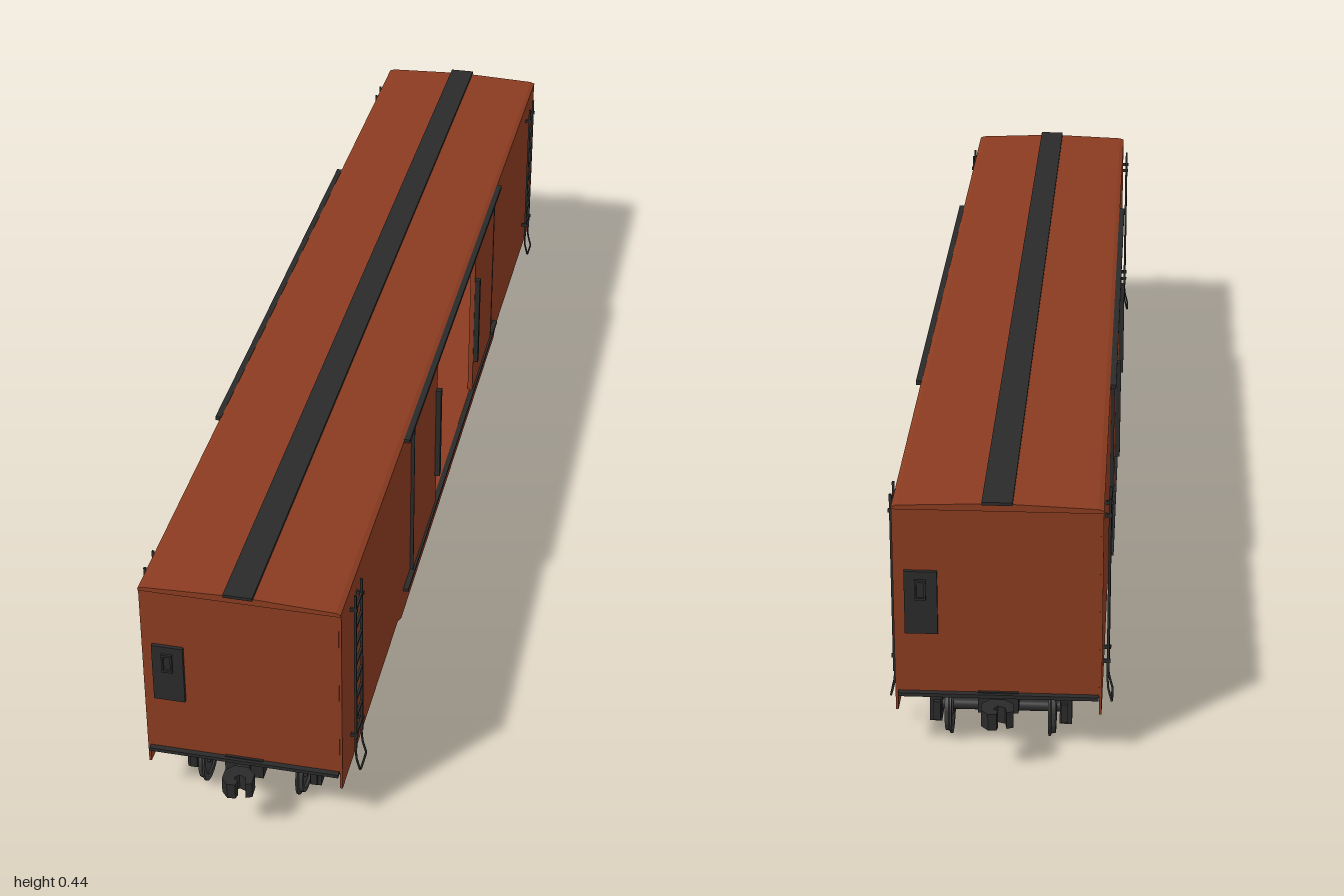
import * as THREE from 'three';
import { toCreasedNormals } from 'three/addons/utils/BufferGeometryUtils.js';

const paint = new THREE.MeshStandardMaterial({ color: 0x8a3b20 });
const black = new THREE.MeshStandardMaterial({ color: 0x2a2a2a });
const steel = new THREE.MeshStandardMaterial({ color: 0x3a3a3a });

function add(parent, name, geometry, material) {
  const mesh = new THREE.Mesh(geometry, material);
  mesh.name = name;
  parent.add(mesh);
  return mesh;
}

// Box given by its limits on each axis
function box(parent, name, [x0, x1], [y0, y1], [z0, z1], material) {
  const g = new THREE.BoxGeometry(x1 - x0, y1 - y0, z1 - z0);
  g.translate((x0 + x1) / 2, (y0 + y1) / 2, (z0 + z1) / 2);
  return add(parent, name, g, material);
}

const shapeOf = pts => new THREE.Shape(pts.map(p => new THREE.Vector2(...p)));

// Extrude a (z, y) outline sideways between x0 and x1
function extrudeX(shape, x0, x1) {
  const g = new THREE.ExtrudeGeometry(shape, { depth: x1 - x0, bevelEnabled: false, curveSegments: 8 });
  return g.rotateY(-Math.PI / 2).translate(x1, 0, 0);
}

// Round rod along x
function rodX(parent, name, r, x0, x1, y, z, material, sides = 16) {
  const g = new THREE.CylinderGeometry(r, r, x1 - x0, sides).rotateZ(Math.PI / 2);
  g.translate((x0 + x1) / 2, y, z);
  return add(parent, name, g, material);
}

function tube(parent, name, pts, r, material) {
  const path = new THREE.CurvePath();
  const v = pts.map(p => new THREE.Vector3(...p));
  for (let i = 1; i < v.length; i++) path.add(new THREE.LineCurve3(v[i - 1], v[i]));
  return add(parent, name, new THREE.TubeGeometry(path, 24, r, 6), material);
}

function ladder(parent, s, zc) {
  const g = new THREE.Group();
  g.name = 'ladder';
  parent.add(g);
  const x = [0.164, 0.168].map(v => v * s).sort((a, b) => a - b);
  for (const dz of [-0.022, 0.022]) {
    box(g, 'ladderStile', x, [0.108, 0.412], [zc + dz - 0.0018, zc + dz + 0.0018], black);
    for (const y of [0.135, 0.385]) {
      const b = [0.156 * s, 0.17 * s].sort((a, c) => a - c);
      box(g, 'ladderBracket', b, [y - 0.003, y + 0.003], [zc + dz - 0.002, zc + dz + 0.002], black);
    }
  }
  for (let i = 0; i < 8; i++) {
    const y = 0.135 + i * 0.0357;
    box(g, 'ladderRung', x, [y - 0.002, y + 0.002], [zc - 0.022, zc + 0.022], black);
  }
  // Flared step hanging below the ladder
  tube(g, 'stirrupStep', [
    [s * 0.165, 0.11, zc - 0.022], [s * 0.167, 0.085, zc - 0.022], [s * 0.173, 0.062, zc - 0.022],
    [s * 0.173, 0.062, zc + 0.022], [s * 0.167, 0.085, zc + 0.022], [s * 0.165, 0.11, zc + 0.022],
  ], 0.0018, black);
}

function buildSide(parent, s) {
  const span = (a, b) => [a * s, b * s].sort((p, q) => p - q);
  // Wall with deepened centre sill edge and doorway
  const wall = shapeOf([[-0.935, 0.075], [-0.505, 0.075], [-0.475, 0.059], [0.475, 0.059],
    [0.505, 0.075], [0.935, 0.075], [0.935, 0.42], [-0.935, 0.42]]);
  wall.holes.push(new THREE.Path([[-0.19, 0.112], [-0.19, 0.418], [0.19, 0.418], [0.19, 0.112]]
    .map(p => new THREE.Vector2(...p))));
  add(parent, 'sideWall', extrudeX(wall, ...span(0.154, 0.158)), paint);
  box(parent, 'topDoorRail', span(0.157, 0.167), [0.416, 0.423], [-0.46, 0.46], black);
  box(parent, 'bottomDoorRail', span(0.157, 0.167), [0.106, 0.111], [-0.46, 0.46], black);
  for (const e of [-1, 1]) {
    const z = (a, b) => [a * e, b * e].sort((p, q) => p - q);
    // Doors slid open
    box(parent, 'slidingDoor', span(0.157, 0.163), [0.111, 0.416], z(0.19, 0.4), paint);
    box(parent, 'doorEdge', span(0.157, 0.164), [0.111, 0.416], z(0.399, 0.402), black);
    box(parent, 'doorLockBar', span(0.163, 0.172), [0.175, 0.357], z(0.192, 0.203), black);
    ladder(parent, s, 0.852 * e);
  }
  box(parent, 'underfloorBox', span(0.082, 0.14), [0.054, 0.105], [-0.16, 0.16], black);
}

function buildTruck(parent, zc) {
  const t = new THREE.Group();
  t.name = 'truck';
  t.position.z = zc;
  parent.add(t);
  // Wheel profile with flange on the inner side
  const profile = [[0, -0.005], [0.016, -0.006], [0.018, -0.002], [0.034, -0.002], [0.036, -0.005],
    [0.047, -0.005], [0.047, -0.002], [0.043, 0], [0.042, 0.006], [0.035, 0.006], [0.033, 0.002],
    [0.018, 0.002], [0.016, 0.007], [0, 0.007]].map(p => new THREE.Vector2(...p));
  const wheel = toCreasedNormals(new THREE.LatheGeometry(profile, 32).rotateZ(-Math.PI / 2), 0.6);
  const frame = shapeOf([[-0.118, 0.03], [-0.072, 0.03], [-0.035, 0.022], [0.035, 0.022], [0.072, 0.03],
    [0.118, 0.03], [0.118, 0.062], [0.07, 0.066], [0.04, 0.076], [-0.04, 0.076], [-0.07, 0.066], [-0.118, 0.062]]);
  for (const e of [-1, 1]) {
    frame.holes.push(new THREE.Path([[0.03, 0.035], [0.066, 0.042], [0.06, 0.056], [0.03, 0.062]]
      .map(([z, y]) => new THREE.Vector2(z * e, y))));
  }
  for (const s of [-1, 1]) {
    const span = (a, b) => [a * s, b * s].sort((p, q) => p - q);
    add(t, 'sideFrame', extrudeX(frame, ...span(0.094, 0.105)), black);
    for (const dz of [-0.095, 0.095]) {
      const w = add(t, 'wheel', wheel, steel);
      w.position.set(0.08 * s, 0.047, dz);
      if (s < 0) w.rotation.y = Math.PI;
      box(t, 'bearingBox', span(0.092, 0.111), [0.025, 0.07], [dz - 0.017, dz + 0.017], black);
    }
    for (const dz of [-0.018, 0, 0.018]) {
      const spring = new THREE.CylinderGeometry(0.008, 0.008, 0.03, 10).translate(0.104 * s, 0.042, dz);
      add(t, 'spring', spring, black);
    }
  }
  for (const dz of [-0.095, 0.095]) rodX(t, 'axle', 0.009, -0.1, 0.1, 0.047, dz, black);
  box(t, 'bolster', [-0.108, 0.108], [0.04, 0.071], [-0.025, 0.025], black);
  add(t, 'centrePlate', new THREE.CylinderGeometry(0.028, 0.028, 0.02, 20).translate(0, 0.078, 0), black);
}

function buildEnd(parent, turn) {
  const e = new THREE.Group();
  e.name = 'carEnd';
  e.rotation.y = turn;
  parent.add(e);
  box(e, 'endWall', [-0.154, 0.154], [0.108, 0.42], [0.929, 0.936], paint);
  box(e, 'endSill', [-0.153, 0.153], [0.104, 0.11], [0.92, 0.945], black);
  // Hand brake housing on the end wall
  box(e, 'brakePanel', [-0.141, -0.091], [0.212, 0.317], [0.934, 0.942], black);
  for (const x of [-0.125, -0.111]) box(e, 'brakeLever', [x, x + 0.003], [0.27, 0.304], [0.942, 0.946], black);
  for (const y of [0.27, 0.3]) box(e, 'brakeLever', [-0.125, -0.108], [y, y + 0.004], [0.942, 0.946], black);
  // Coupler
  box(e, 'couplerPocket', [-0.031, 0.031], [0.076, 0.112], [0.9, 0.94], black);
  box(e, 'couplerShank', [-0.011, 0.011], [0.086, 0.104], [0.93, 0.972], black);
  const jaw = shapeOf([[-0.011, 0.955], [0.011, 0.955], [0.025, 0.968], [0.026, 0.99], [0.016, 0.994],
    [0.013, 0.979], [0.002, 0.975], [-0.005, 0.983], [0.003, 0.99], [0.001, 0.999], [-0.012, 1],
    [-0.023, 0.988], [-0.023, 0.968]]);
  const head = new THREE.ExtrudeGeometry(jaw, { depth: 0.028, bevelEnabled: false });
  add(e, 'couplerHead', head.rotateX(Math.PI / 2).translate(0, 0.109, 0), black);
}

export function createModel() {
  const car = new THREE.Group();
  car.name = 'boxcar';

  // Shallow pitched roof with walkway
  const roof = shapeOf([[-0.158, 0.418], [0.158, 0.418], [0.158, 0.422], [0.15, 0.425],
    [0, 0.431], [-0.15, 0.425], [-0.158, 0.422]]);
  const roofGeometry = new THREE.ExtrudeGeometry(roof, { depth: 1.876, bevelEnabled: false });
  add(car, 'roof', roofGeometry.translate(0, 0, -0.938), paint);
  box(car, 'roofWalk', [-0.023, 0.023], [0.43, 0.435], [-0.943, 0.943], black);

  // Floor and underframe
  box(car, 'floor', [-0.155, 0.155], [0.108, 0.112], [-0.932, 0.932], paint);
  box(car, 'underfloor', [-0.154, 0.154], [0.102, 0.108], [-0.932, 0.932], black);
  box(car, 'centreSill', [-0.028, 0.028], [0.077, 0.103], [-0.93, 0.93], black);

  for (const s of [-1, 1]) {
    buildSide(car, s);
    buildTruck(car, 0.77 * s);
    buildEnd(car, s > 0 ? 0 : Math.PI);
  }
  return car;
}
